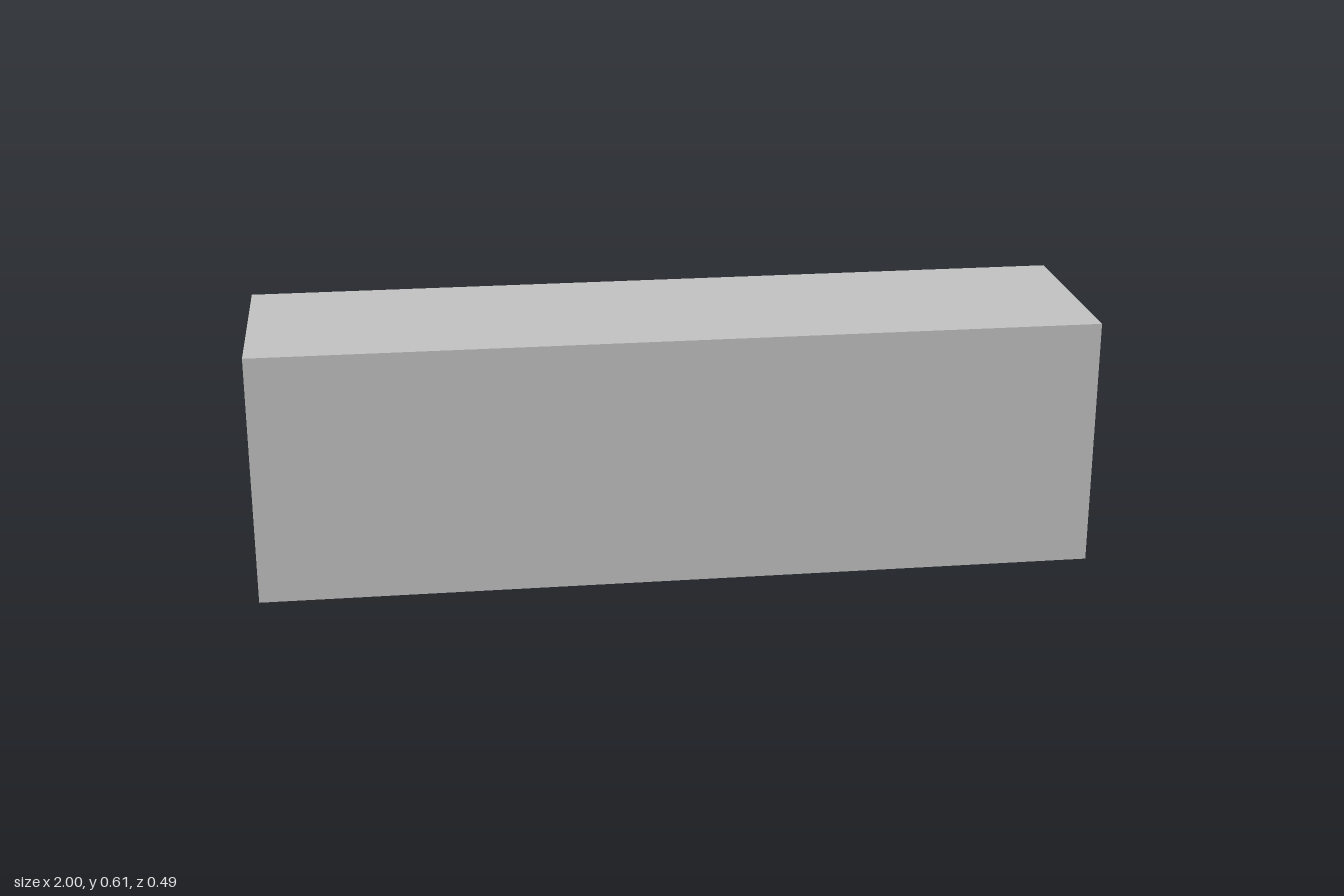
import * as THREE from 'three';

const LENGTH = 2, HEIGHT = 0.605, DEPTH = 0.49;
const WALL = 0.076, ROOF = 0.076;
const POST_RADIUS = 0.101, POST_SPACING = 0.503;

// Adds a centred rectangle outline to a shape or path
function rectangle(path, w, d) {
  path.moveTo(-w / 2, -d / 2);
  path.lineTo(w / 2, -d / 2);
  path.lineTo(w / 2, d / 2);
  path.lineTo(-w / 2, d / 2);
  path.closePath();
  return path;
}

export function createModel() {
  const model = new THREE.Group();
  model.name = 'hollowBlock';
  const grey = new THREE.MeshStandardMaterial({ color: 0xc0c0c0 });
  grey.name = 'grey';

  const add = (name, geometry, x, y) => {
    const mesh = new THREE.Mesh(geometry, grey);
    mesh.name = name;
    mesh.position.set(x, y, 0);
    model.add(mesh);
  };

  const innerHeight = HEIGHT - ROOF;

  // Four walls, open underneath
  const outline = rectangle(new THREE.Shape(), LENGTH, DEPTH);
  outline.holes.push(rectangle(new THREE.Path(), LENGTH - 2 * WALL, DEPTH - 2 * WALL));
  const walls = new THREE.ExtrudeGeometry(outline, { depth: innerHeight, bevelEnabled: false });
  walls.rotateX(-Math.PI / 2);
  add('walls', walls, 0, 0);

  // Smooth closed top
  add('topPlate', new THREE.BoxGeometry(LENGTH, ROOF, DEPTH), 0, HEIGHT - ROOF / 2);

  // Row of solid eight-sided posts, flats facing the walls
  const post = new THREE.CylinderGeometry(POST_RADIUS, POST_RADIUS, innerHeight, 8)
    .rotateY(Math.PI / 8)
    .toNonIndexed();
  post.computeVertexNormals();
  for (const i of [-1, 0, 1]) {
    add(['rightPost', 'middlePost', 'leftPost'][i + 1], post, i * POST_SPACING, innerHeight / 2);
  }

  return model;
}
